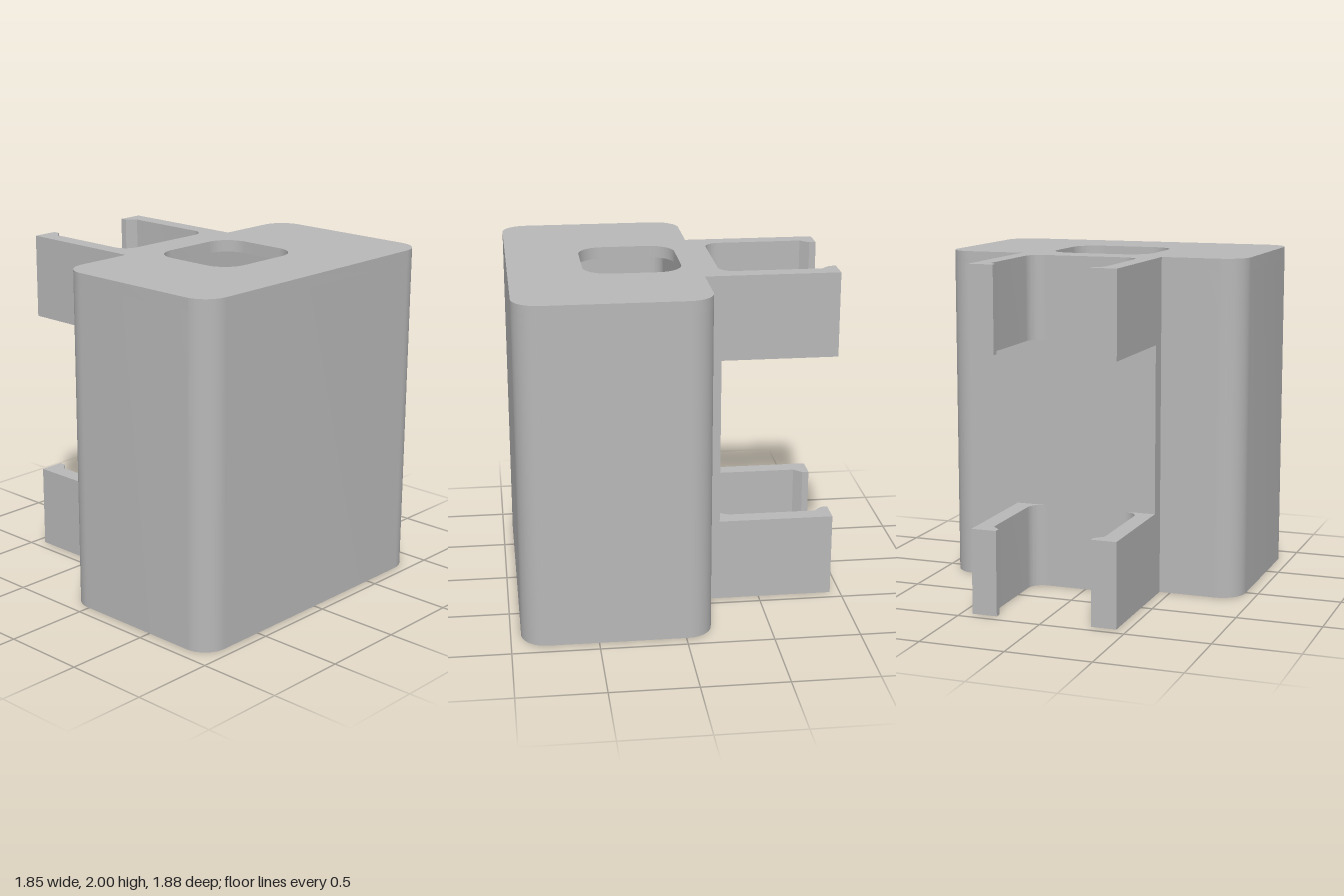
import * as THREE from 'three';
import { toCreasedNormals } from 'three/addons/utils/BufferGeometryUtils.js';

// Plan shapes are drawn with shape y = -z, then raised along y.
function roundedRect(target, x0, x1, z0, z1, r) {
  const b = -z1, t = -z0;
  target.moveTo(x0 + r, b);
  target.lineTo(x1 - r, b);
  target.absarc(x1 - r, b + r, r, -Math.PI / 2, 0, false);
  target.lineTo(x1, t - r);
  target.absarc(x1 - r, t - r, r, 0, Math.PI / 2, false);
  target.lineTo(x0 + r, t);
  target.absarc(x0 + r, t - r, r, Math.PI / 2, Math.PI, false);
  target.lineTo(x0, b + r);
  target.absarc(x0 + r, b + r, r, Math.PI, Math.PI * 1.5, false);
  return target;
}

function raise(shape, y0, y1) {
  const g = new THREE.ExtrudeGeometry(shape, { depth: y1 - y0, bevelEnabled: false, curveSegments: 12 });
  g.rotateX(-Math.PI / 2);
  g.translate(0, y0, 0);
  return toCreasedNormals(g, 0.5);
}

export function createModel() {
  const group = new THREE.Group();
  const grey = new THREE.MeshStandardMaterial({ color: 0xb8b8b8 });
  grey.name = 'grey plastic';
  const add = (name, geometry) => {
    const mesh = new THREE.Mesh(geometry, grey);
    mesh.name = name;
    group.add(mesh);
    return mesh;
  };

  const outline = () => roundedRect(new THREE.Shape(), -0.925, 0.925, -0.16, 0.94, 0.15);
  const topY = 1.93;

  // Hollow housing, open at the bottom
  const walls = outline();
  walls.holes.push(roundedRect(new THREE.Path(), -0.825, 0.825, -0.06, 0.84, 0.1));
  add('housingWalls', raise(walls, 0, topY));

  // Top plate with a rounded opening
  const lid = outline();
  lid.holes.push(roundedRect(new THREE.Path(), -0.31, 0.31, -0.06, 0.51, 0.15));
  add('topPlate', raise(lid, topY, 2));

  // Mounting pad between the clips
  const pad = new THREE.BoxGeometry(0.87, 1, 0.1);
  pad.translate(0, 1, -0.21);
  add('mountingPad', pad);

  // U-shaped clips with hooked tips
  const clip = new THREE.Shape();
  const r = 0.09, inner = 0.335, base = 0.26;
  clip.moveTo(-0.435, 0.16);
  clip.lineTo(0.435, 0.16);
  clip.lineTo(0.435, 0.94);
  clip.lineTo(0.285, 0.94);
  clip.lineTo(0.285, 0.9);
  clip.lineTo(inner, 0.85);
  clip.lineTo(inner, base + r);
  clip.absarc(inner - r, base + r, r, 0, -Math.PI / 2, true);
  clip.lineTo(-inner + r, base);
  clip.absarc(-inner + r, base + r, r, -Math.PI / 2, -Math.PI, true);
  clip.lineTo(-inner, 0.85);
  clip.lineTo(-0.285, 0.9);
  clip.lineTo(-0.285, 0.94);
  clip.lineTo(-0.435, 0.94);
  clip.closePath();
  add('lowerClip', raise(clip, 0, 0.5));
  add('upperClip', raise(clip, 1.5, 2));

  return group;
}
